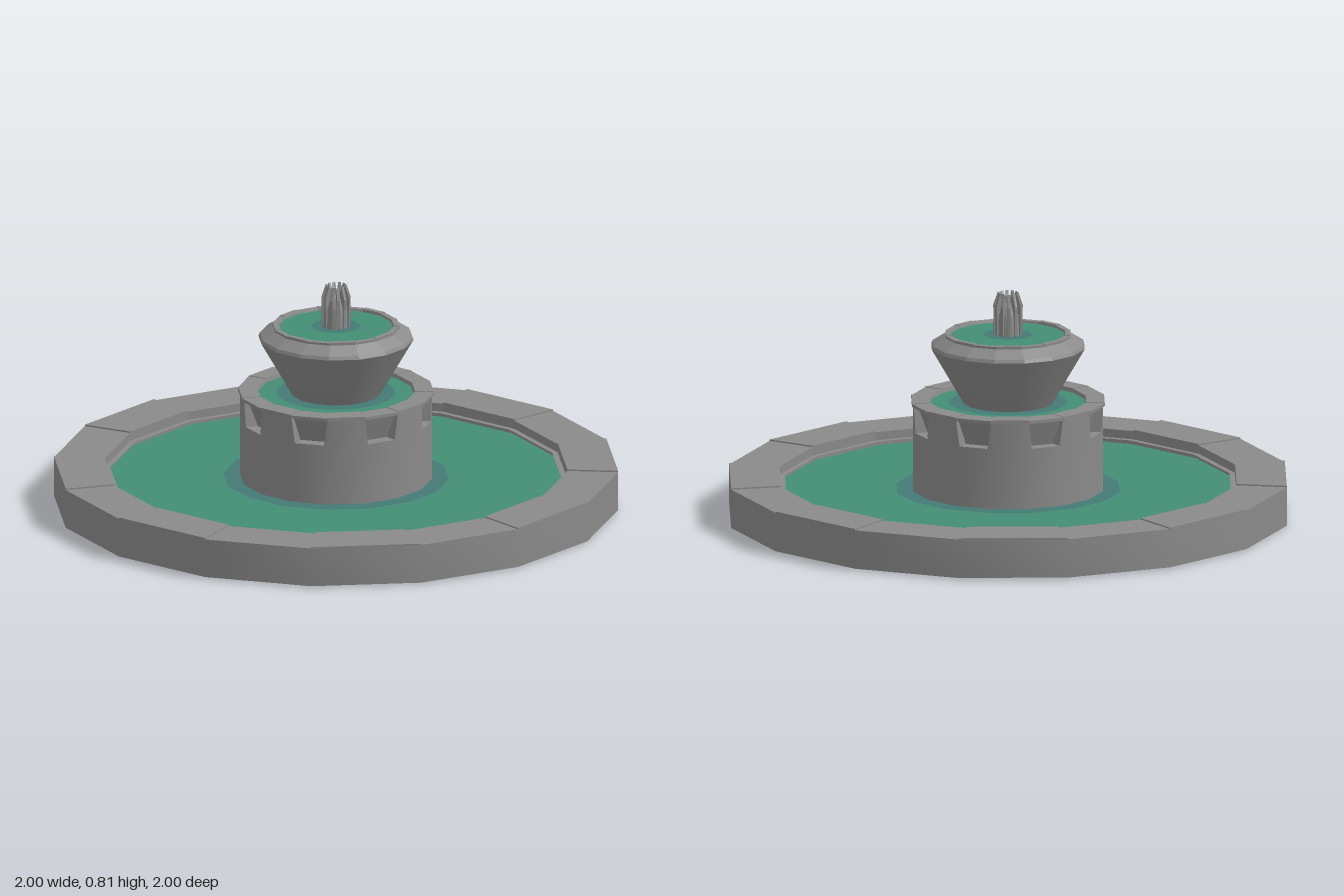
import * as THREE from 'three';
import { toCreasedNormals } from 'three/addons/utils/BufferGeometryUtils.js';

const SIDES = 16;
const material = (color) => new THREE.MeshStandardMaterial({ color, side: THREE.DoubleSide });
const stone = material(0x8a8a8a);
const water = material(0x448d75);
const ripple = material(0x447a73);

// Point on a facet of a 16-sided ring; i may be fractional along the flat facet
function onRing(i, r, y) {
  const k = Math.floor(i), t = i - k;
  const a = (k / SIDES) * Math.PI * 2, b = ((k + 1) / SIDES) * Math.PI * 2;
  const mix = THREE.MathUtils.lerp;
  return [r * mix(Math.sin(a), Math.sin(b), t), y, r * mix(Math.cos(a), Math.cos(b), t)];
}

// Collects triangles and quads into one creased geometry
function faceBuilder() {
  const pos = [];
  const tri = (a, b, c) => pos.push(...a, ...b, ...c);
  const quad = (a, b, c, d) => { tri(a, b, c); tri(a, c, d); };
  const build = (crease) => {
    const g = new THREE.BufferGeometry();
    g.setAttribute('position', new THREE.Float32BufferAttribute(pos, 3));
    g.computeVertexNormals();
    return toCreasedNormals(g, crease);
  };
  return { tri, quad, build };
}

export function createModel() {
  const model = new THREE.Group();
  const add = (name, geometry, mat = stone) => {
    const mesh = new THREE.Mesh(geometry, mat);
    mesh.name = name;
    model.add(mesh);
  };
  const lathe = (name, points) => {
    const g = new THREE.LatheGeometry(points.map(([r, y]) => new THREE.Vector2(r, y)), SIDES);
    add(name, toCreasedNormals(g, 0.5));
  };
  // Flat 16-sided disc or ring with corners on the axes
  const flat = (name, inner, outer, y, mat) => {
    const g = inner > 0
      ? new THREE.RingGeometry(inner, outer, SIDES)
      : new THREE.CircleGeometry(outer, SIDES);
    add(name, g.rotateX(-Math.PI / 2).translate(0, y, 0), mat);
  };
  // Ring of flat-faced stones; every other one has its top lowered by dip
  const stoneRing = (name, profile, dip) => {
    const f = faceBuilder();
    const top = Math.max(...profile.map((p) => p[1]));
    for (let i = 0; i < SIDES; i++) {
      const height = (y) => (y === top && i % 2 ? y - dip : y);
      for (let k = 0; k < profile.length - 1; k++) {
        const [r0, y0] = profile[k], [r1, y1] = profile[k + 1];
        const a = height(y0), b = height(y1);
        f.quad(onRing(i, r0, a), onRing(i + 1, r0, a), onRing(i + 1, r1, b), onRing(i, r1, b));
        // Step at the joint where the top height changes
        if (y0 === top && y1 === top) {
          f.quad(onRing(i, r0, top), onRing(i, r1, top), onRing(i, r1, top - dip), onRing(i, r0, top - dip));
        }
      }
    }
    add(name, f.build(0.1));
  };

  // Pool: outer wall, coping stones, inner wall, floor and water
  lathe('poolOuterWall', [[1, 0.006], [1, 0.143]]);
  stoneRing('poolCoping', [[1, 0.143], [1, 0.15], [0.82, 0.15], [0.82, 0.115], [0.8, 0.115]], 0.005);
  lathe('poolInnerWall', [[0.82, 0.115], [0.82, 0]]);
  flat('poolFloor', 0.34, 0.82, 0, stone);
  flat('drainWater', 0, 0.34, 0.015, water);
  flat('poolWater', 0.3, 0.81, 0.1, water);
  flat('poolRipple', 0.33, 0.4, 0.103, ripple);

  // Pedestal drum: every other facet has a recessed overflow opening
  const drum = faceBuilder();
  const R = 0.34, LOW = 0.32, TOP = 0.412;
  for (let i = 0; i < SIDES; i++) {
    const j = i + 1;
    drum.quad(onRing(i, R, 0), onRing(j, R, 0), onRing(j, R, LOW), onRing(i, R, LOW));
    if (i % 2 === 0) {
      drum.quad(onRing(i, R, LOW), onRing(j, R, LOW), onRing(j, R, TOP), onRing(i, R, TOP));
      continue;
    }
    const u = i + 0.1, v = i + 0.9;
    drum.tri(onRing(i, R, LOW), onRing(u, R, LOW), onRing(i, R, TOP));
    drum.tri(onRing(v, R, LOW), onRing(j, R, LOW), onRing(j, R, TOP));
    // Floor, leaning back and sides of the opening
    const lowL = onRing(u, 0.295, LOW), lowR = onRing(v, 0.295, LOW);
    const topL = onRing(i, 0.325, TOP), topR = onRing(j, 0.325, TOP);
    drum.quad(onRing(u, R, LOW), onRing(v, R, LOW), lowR, lowL);
    drum.quad(lowL, lowR, topR, topL);
    drum.quad(onRing(u, R, LOW), lowL, topL, onRing(i, R, TOP));
    drum.quad(lowR, onRing(v, R, LOW), onRing(j, R, TOP), topR);
  }
  add('pedestalDrum', drum.build(0.5));
  stoneRing('pedestalRim', [[0.28, 0.412], [0.347, 0.412], [0.347, 0.425], [0.28, 0.425], [0.275, 0.4]], 0.002);
  flat('pedestalWater', 0, 0.278, 0.41, water);
  flat('pedestalRipple', 0.14, 0.21, 0.413, ripple);

  // Upper bowl with a faceted lip
  lathe('upperBowl', [[0.15, 0.4], [0.165, 0.425], [0.275, 0.615]]);
  stoneRing('upperBowlLip', [[0.275, 0.615], [0.27, 0.627], [0.225, 0.655], [0.225, 0.665], [0.205, 0.665], [0.2, 0.645]], 0.002);
  flat('upperBowlWater', 0, 0.203, 0.655, water);
  flat('upperBowlRipple', 0.04, 0.085, 0.658, ripple);

  // Spout: a column wrapped by upright fins that lean inwards at the top
  lathe('spoutColumn', [[0.047, 0.63], [0.044, 0.73], [0.03, 0.765], [0, 0.77]]);
  const finShape = new THREE.Shape([
    [0.03, 0.65], [0.05, 0.66], [0.052, 0.765], [0.037, 0.81], [0.027, 0.79], [0.03, 0.7],
  ].map(([r, y]) => new THREE.Vector2(r, y)));
  const fin = new THREE.ExtrudeGeometry(finShape, { depth: 0.01, bevelEnabled: false }).translate(0, 0, -0.005);
  const crown = new THREE.Group();
  crown.name = 'spoutCrown';
  for (let i = 0; i < 12; i++) {
    const mesh = new THREE.Mesh(fin, stone);
    mesh.name = 'spoutFin';
    mesh.rotation.y = (i / 12) * Math.PI * 2;
    crown.add(mesh);
  }
  model.add(crown);

  return model;
}
